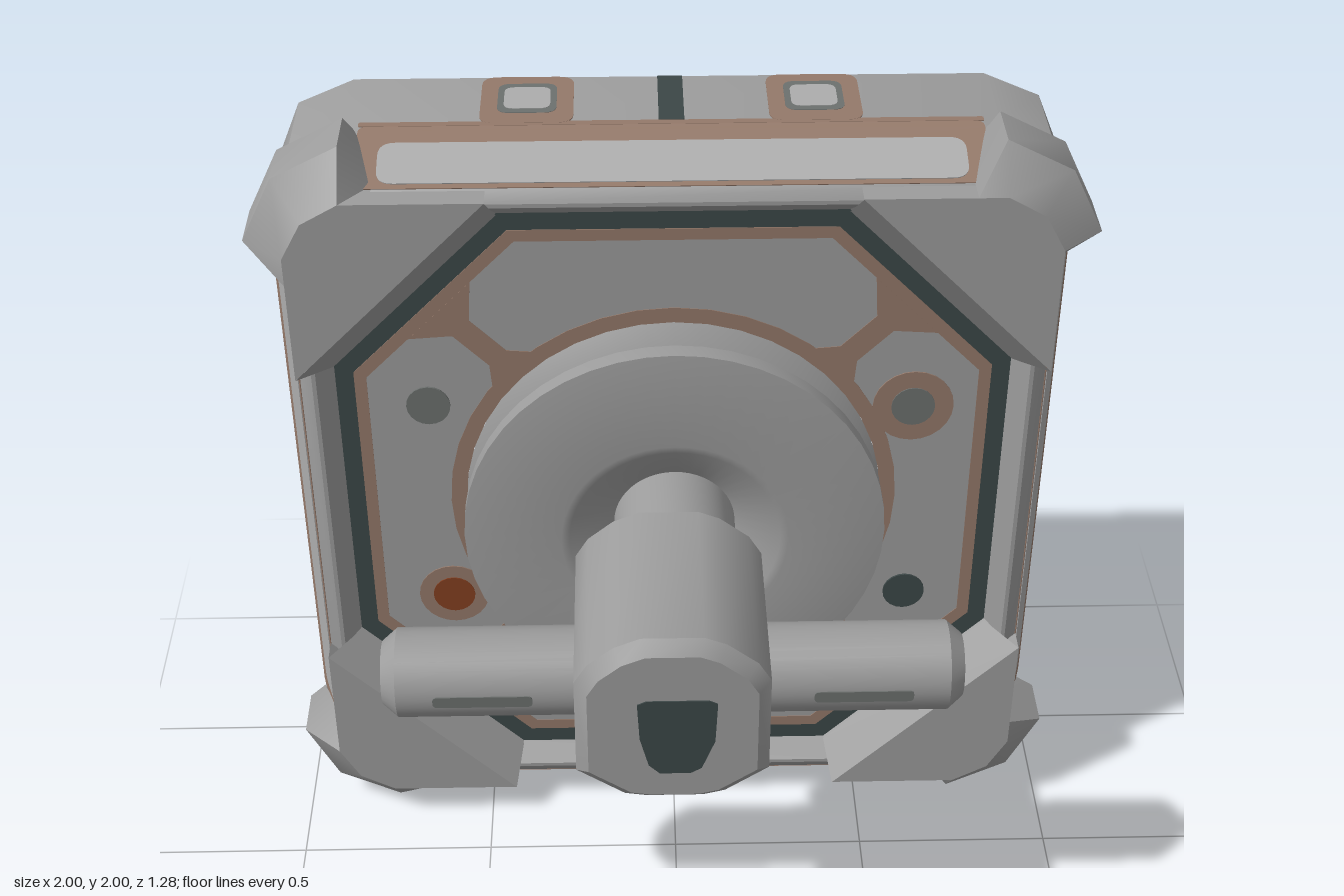
import * as THREE from 'three';
import { toCreasedNormals } from 'three/addons/utils/BufferGeometryUtils.js';

const mat = (name, color) => {
  const m = new THREE.MeshStandardMaterial({ color, side: THREE.DoubleSide });
  m.name = name;
  return m;
};

export function createModel() {
  const grey = mat('steel grey', 0x9c9c9c);
  const light = mat('light grey', 0xadadad);
  const mid = mat('slate grey', 0x6c706e);
  const dark = mat('dark teal', 0x3c4747);
  const brown = mat('worn brown', 0x94796a);
  const rust = mat('rust', 0x833f20);

  const model = new THREE.Group();
  const hatch = new THREE.Group();
  hatch.name = 'hatch';
  hatch.position.y = 1;
  model.add(hatch);

  const add = (name, geo, material, parent = hatch) => {
    const m = new THREE.Mesh(geo, material);
    m.name = name;
    parent.add(m);
    return m;
  };
  const toShape = pts => new THREE.Shape(pts.map(p => new THREE.Vector2(p[0], p[1])));
  const withHole = (outer, inner) => {
    const s = toShape(outer);
    s.holes.push(toShape(inner));
    return s;
  };
  const circle = (r, cx = 0, cy = 0, n = 40) => Array.from({ length: n }, (_, i) => {
    const a = i / n * Math.PI * 2;
    return [cx + r * Math.cos(a), cy + r * Math.sin(a)];
  });
  // Plate extruded evenly about z = 0
  const plate = (shape, t) =>
    new THREE.ExtrudeGeometry(shape, { depth: t, bevelEnabled: false, curveSegments: 6 }).translate(0, 0, -t / 2);
  const roundRect = (x0, x1, y0, y1, r) => {
    const s = new THREE.Shape();
    s.moveTo(x0 + r, y0);
    s.lineTo(x1 - r, y0); s.quadraticCurveTo(x1, y0, x1, y0 + r);
    s.lineTo(x1, y1 - r); s.quadraticCurveTo(x1, y1, x1 - r, y1);
    s.lineTo(x0 + r, y1); s.quadraticCurveTo(x0, y1, x0, y1 - r);
    s.lineTo(x0, y0 + r); s.quadraticCurveTo(x0, y0, x0 + r, y0);
    return s;
  };
  // Skin between outlines, each given as [z, points], from back to front
  const loft = (sections, closed, crease = 0.6, cap = false) => {
    const pos = [], idx = [], n = sections[0][1].length;
    sections.forEach(([z, pts]) => pts.forEach(p => pos.push(p[0], p[1], z)));
    for (let s = 0; s < sections.length - 1; s++)
      for (let i = 0; i < (closed ? n : n - 1); i++) {
        const a = s * n + i, b = s * n + (i + 1) % n;
        idx.push(a, b, b + n, a, b + n, a + n);
      }
    if (cap) {
      const e = (sections.length - 1) * n;
      for (let i = 1; i < n - 1; i++) idx.push(0, i + 1, i, e, e + i, e + i + 1);
    }
    const g = new THREE.BufferGeometry();
    g.setAttribute('position', new THREE.Float32BufferAttribute(pos, 3));
    g.setIndex(idx);
    return toCreasedNormals(g, crease);
  };
  const lathe = (pts, seg) =>
    toCreasedNormals(new THREE.LatheGeometry(pts.map(p => new THREE.Vector2(...p)), seg), 0.4);

  // Outlines: soft-cornered square and octagon
  const square = (h, c = 0.2) => [[1, 0], [0, 1], [-1, 0], [0, -1]].flatMap(([x, y]) =>
    [[h, h - c], [h - c * 0.3, h - c * 0.3], [h - c, h]].map(([u, v]) => [x * u - y * v, y * u + x * v]));
  const octagon = a => [[a, -a / 2], [a, a / 2], [a / 2, a], [-a / 2, a],
    [-a, a / 2], [-a, -a / 2], [-a / 2, -a], [a / 2, -a]];

  // Open-backed housing
  add('housingShell', loft([[-0.64, square(0.96)], [-0.39, square(0.96)],
    [-0.2, square(0.9)], [-0.18, square(0.87)]], true, 0.75), grey);
  add('frontLip', new THREE.ShapeGeometry(withHole(square(0.87), octagon(0.86))).translate(0, 0, -0.18), grey);
  add('lipSlope', loft([[-0.23, octagon(0.82)], [-0.18, octagon(0.86)]], true, 0.2), grey);

  // Recessed front panel with paint showing on both faces
  const pz = -0.23;
  const paint = (name, shape, m, t = 0.004, dz = 0) => add(name, plate(shape, t).translate(0, 0, pz + dz), m);
  add('channel', new THREE.ShapeGeometry(withHole(octagon(0.82), octagon(0.775))).translate(0, 0, pz), dark);
  add('panel', new THREE.ShapeGeometry(withHole(octagon(0.775), circle(0.52))).translate(0, 0, pz), grey);
  paint('panelTrim', withHole(octagon(0.775), octagon(0.745)), brown);
  paint('panelRing', withHole(circle(0.56), circle(0.52)), brown);
  for (let k = 0; k < 4; k++) {
    const spoke = toShape([[0.53, -0.09], [0.6, -0.03], [0.72, -0.03], [0.79, -0.11],
      [0.79, 0.11], [0.72, 0.03], [0.6, 0.03], [0.53, 0.09]]);
    paint('panelSpoke', spoke, brown).rotation.z = Math.PI / 4 + k * Math.PI / 2;
  }
  [[-0.6, 0.29, mid, 0, rust], [0.59, 0.27, mid, 0.1, mid], [-0.57, -0.3, rust, 0.09, rust], [0.6, -0.31, dark, 0, dark]]
    .forEach(([x, y, m, ring, back]) => {
      if (ring) paint('boltRing', toShape(circle(ring, x, y, 24)), brown, 0.006);
      paint('boltFront', toShape(circle(0.054, x, y, 20)), m, 0.005, 0.003);
      paint('boltBack', toShape(circle(0.054, x, y, 20)), back, 0.005, -0.003);
    });

  // Painted plates on the four walls: u runs along the wall, v is z
  const toWall = new THREE.Matrix4().makeBasis(
    new THREE.Vector3(0, 1, 0), new THREE.Vector3(0, 0, 1), new THREE.Vector3(1, 0, 0));
  for (let k = 0; k < 4; k++) {
    const wall = new THREE.Group();
    wall.name = ['leftWall', 'topWall', 'rightWall', 'bottomWall'][k];
    wall.rotation.z = k * Math.PI / 2;
    hatch.add(wall);
    const slope = new THREE.Group();
    slope.name = 'slopedBand';
    slope.position.set(0.93, 0, -0.295);
    slope.rotation.y = -Math.atan2(0.06, 0.19);
    wall.add(slope);
    const on = (parent, name, shape, m, t, x = 0) =>
      add(name, plate(shape, t).applyMatrix4(toWall).translate(x, 0, 0), m, parent);
    on(slope, 'bandPaint', roundRect(-0.73, 0.73, -0.099, 0.099, 0.02), brown, 0.004);
    on(slope, 'bandStrip', roundRect(-0.68, 0.68, -0.045, 0.085, 0.04), light, 0.008);
    on(wall, 'bandEdge', roundRect(-0.73, 0.73, -0.41, -0.39, 0.005), brown, 0.004, 0.96);
    const side = k % 2 === 0;
    const c = side ? 0.04 : 0.03;
    on(wall, 'centreLine', roundRect(-c, c, -0.638, -0.41, 0.005), dark, 0.006, 0.96);
    for (const s of [-1, 1]) {
      const range = (a, b) => s > 0 ? [a, b] : [-b, -a];
      on(wall, 'windowSurround', roundRect(...range(side ? 0.12 : 0.23, side ? 0.64 : 0.45), -0.638, -0.4, 0.04),
        brown, 0.005, 0.96);
      if (k === 3) {
        for (const u of [0.29, 0.39]) {
          on(wall, 'socket', toShape(circle(0.042, s * u, -0.53, 16)), light, 0.007, 0.96);
          on(wall, 'socketHole', toShape(circle(0.013, s * u, -0.53, 10)), dark, 0.009, 0.96);
        }
      } else {
        on(wall, 'window', roundRect(...range(side ? 0.17 : 0.27, side ? 0.61 : 0.41), -0.6, -0.45, 0.03),
          mid, 0.007, 0.96);
        if (!side) on(wall, 'windowPane', roundRect(...range(0.285, 0.395), -0.58, -0.47, 0.025), light, 0.009, 0.96);
      }
    }
  }

  // Corner guards with a flat bracket and a bevelled inner edge
  const corner = (a, b, c) => [a, b, [c, c], [b[1], b[0]], [a[1], a[0]]];
  for (let k = 0; k < 4; k++) {
    const g = new THREE.Group();
    g.name = 'cornerGuard';
    g.rotation.z = k * Math.PI / 2;
    hatch.add(g);
    add('guardCap', loft([
      [-0.39, corner([0.955, 0.74], [0.96, 0.77], 0.9)],
      [-0.36, corner([0.955, 0.73], [1, 0.76], 0.92)],
      [-0.22, corner([0.9, 0.69], [1, 0.76], 0.92)],
      [-0.13, corner([0.9, 0.69], [0.9, 0.76], 0.85)]], false, 0.7), grey, g);
    add('guardBracket', plate(toShape([[0.9, 0.43], [0.9, 0.76], [0.85, 0.85], [0.76, 0.9], [0.43, 0.9]]), 0.06)
      .translate(0, 0, -0.16), grey, g);
    add('guardBevel', loft([[-0.22, [[0.82, 0.41], [0.41, 0.82]]], [-0.129, [[0.9, 0.43], [0.43, 0.9]]]], false), grey, g);
  }

  // Round flange, dished centre and hollow stem
  add('flangeAndStem', lathe([[0.52, -0.23], [0.46, -0.19], [0.43, -0.18], [0.43, -0.128], [0.52, -0.125],
    [0.52, -0.08], [0.28, -0.05], [0.26, -0.055], [0.15, -0.13], [0.15, 0.15]], 48).rotateX(Math.PI / 2), grey);

  // Handle hub
  const hubOutline = [[-0.24, -0.15], [-0.13, -0.225], [-0.08, -0.233], [0.05, -0.233], [0.1, -0.22], [0.2, -0.15],
    [0.2, 0.11], [0.17, 0.16], [0.1, 0.215], [0.05, 0.235], [-0.09, 0.235], [-0.15, 0.21], [-0.21, 0.16], [-0.24, 0.11]];
  const inset = hubOutline.map(([x, y]) => [-0.02 + (x + 0.02) * 0.87, y * 0.87]);
  add('hub', loft([[0.15, hubOutline], [0.61, hubOutline], [0.64, inset]], true, 0.6, true), grey);
  add('hubBadge', plate(toShape([[-0.1, 0.07], [-0.08, 0.08], [0.06, 0.08], [0.08, 0.07], [0.075, -0.04],
    [0.045, -0.12], [0.02, -0.135], [-0.05, -0.135], [-0.075, -0.11], [-0.095, -0.03]]), 0.006)
    .translate(0, 0, 0.64), dark);

  // Cross bar with inlaid slots
  add('crossBar', lathe([[0, -0.69], [0.075, -0.69], [0.105, -0.655], [0.105, 0.625], [0.075, 0.66], [0, 0.66]], 28)
    .rotateZ(-Math.PI / 2).translate(0, -0.055, 0.37), grey);
  for (const [a, b] of [[-0.57, -0.34], [0.31, 0.54]])
    add('barSlot', plate(roundRect(a, b, -0.075, -0.045, 0.012), 0.008).translate(0, 0, 0.473), mid);

  return model;
}
